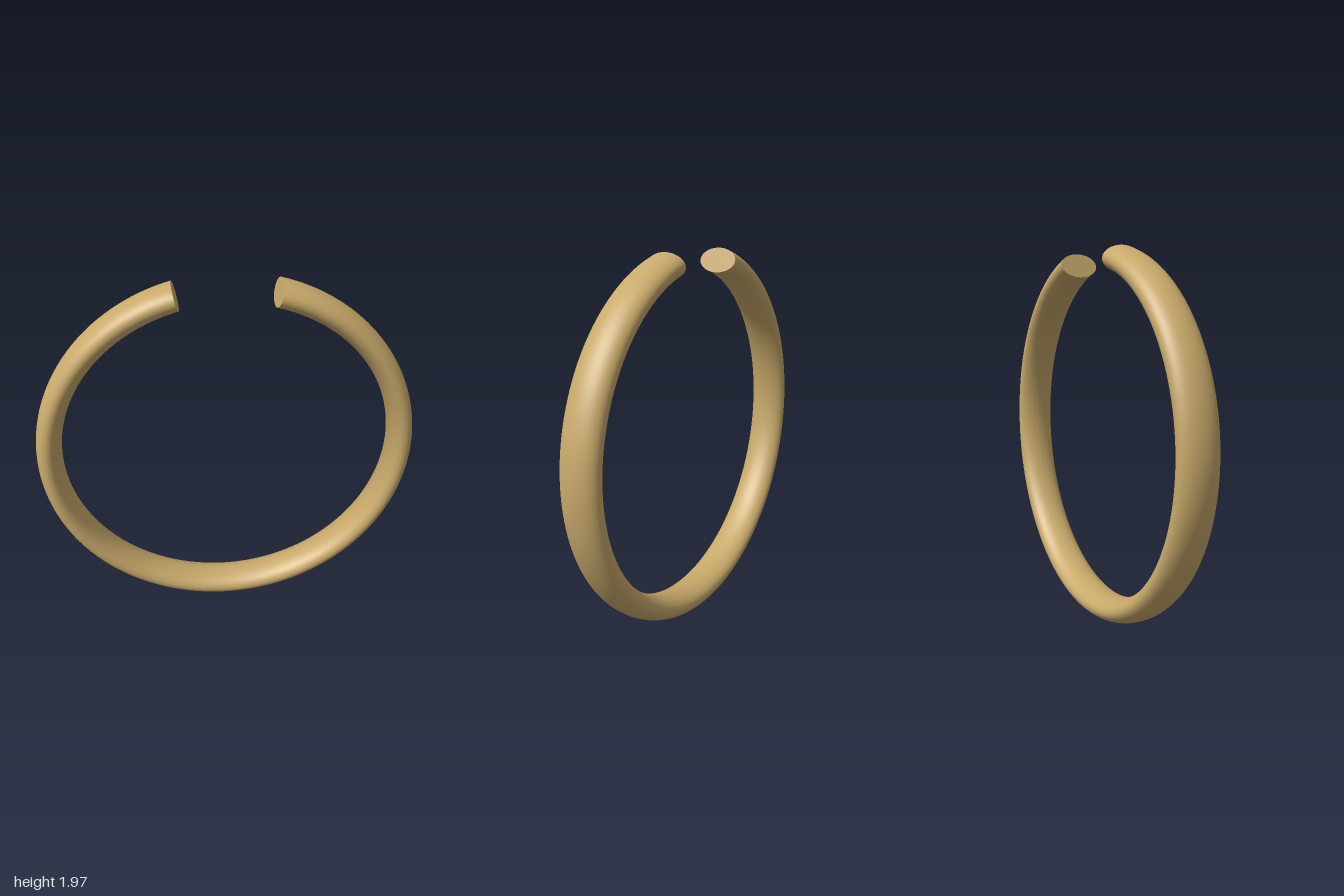
import * as THREE from 'three';

const RING_R = 0.935;        // radius of the tube's centre line
const HALF_THICK = 0.065;    // radial half thickness
const HALF_WIDTH = 0.105;    // half width along z
const GAP = THREE.MathUtils.degToRad(15.1); // half angle of the opening at the top

export function createModel() {
  const group = new THREE.Group();
  group.name = 'openBangle';
  const material = new THREE.MeshStandardMaterial({ color: 0xc8a96a });

  // Oval cross-section, swept around the ring with a gap at the top
  const profile = [];
  const sides = 48;
  for (let i = 0; i <= sides; i++) {
    const t = -Math.PI + (i / sides) * Math.PI * 2;
    profile.push(new THREE.Vector2(RING_R + HALF_THICK * Math.cos(t), HALF_WIDTH * Math.sin(t)));
  }
  const bandGeometry = new THREE.LatheGeometry(profile, 160, GAP, Math.PI * 2 - GAP * 2);
  bandGeometry.rotateX(-Math.PI / 2);
  const band = new THREE.Mesh(bandGeometry, material);
  band.name = 'band';
  group.add(band);

  // Flat oval end faces on both sides of the gap
  for (const side of [1, -1]) {
    const capGeometry = new THREE.CircleGeometry(1, sides);
    capGeometry.scale(HALF_WIDTH, HALF_THICK, 1);
    capGeometry.rotateY(-side * Math.PI / 2);
    capGeometry.translate(0, RING_R, 0);
    capGeometry.rotateZ(-side * GAP);
    const cap = new THREE.Mesh(capGeometry, material);
    cap.name = side > 0 ? 'leftEnd' : 'rightEnd';
    group.add(cap);
  }

  // Rest the ring on the ground
  group.position.y = RING_R + HALF_THICK;
  return group;
}
